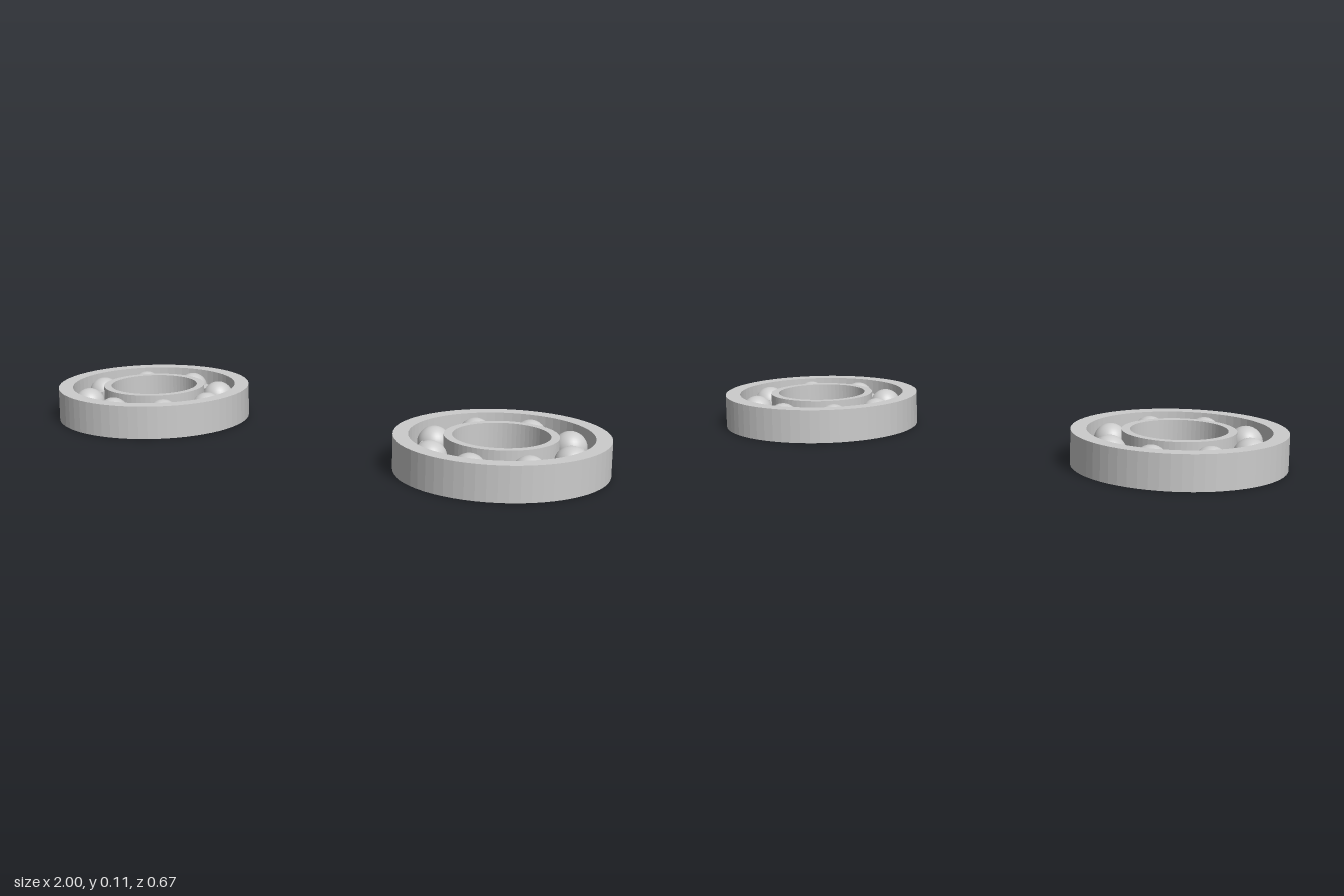
import * as THREE from 'three';

const HEIGHT = 0.111, PITCH = 0.228, BALLS = 8;
const flat = new THREE.MeshStandardMaterial({ color: 0xcccccc, flatShading: true });
const smooth = new THREE.MeshStandardMaterial({ color: 0xcccccc });

// Square-section ring lying flat, centred on the middle height of the bearing
function ring(name, inner, outer, height) {
  const h = height / 2;
  const profile = [[inner, -h], [outer, -h], [outer, h], [inner, h], [inner, -h]]
    .map(([x, y]) => new THREE.Vector2(x, y));
  const mesh = new THREE.Mesh(new THREE.LatheGeometry(profile, 64), flat);
  mesh.name = name;
  mesh.position.y = HEIGHT / 2;
  return mesh;
}

function bearing(name) {
  const group = new THREE.Group();
  group.name = name;
  group.add(
    ring('outerRace', 0.284, 0.3333, HEIGHT),
    ring('innerRace', 0.15, 0.176, HEIGHT),
    ring('cage', 0.203, 0.251, 0.028)
  );
  // Balls evenly spaced around the cage
  const ballGeometry = new THREE.SphereGeometry(0.053, 32, 20);
  for (let i = 0; i < BALLS; i++) {
    const a = (i / BALLS) * Math.PI * 2;
    const ball = new THREE.Mesh(ballGeometry, smooth);
    ball.name = 'ball';
    ball.position.set(PITCH * Math.cos(a), HEIGHT / 2, PITCH * Math.sin(a));
    group.add(ball);
  }
  return group;
}

export function createModel() {
  const model = new THREE.Group();
  model.name = 'bearingPair';
  for (const [name, side] of [['leftBearing', 1], ['rightBearing', -1]]) {
    const b = bearing(name);
    b.position.x = side * 0.6667;
    model.add(b);
  }
  return model;
}
